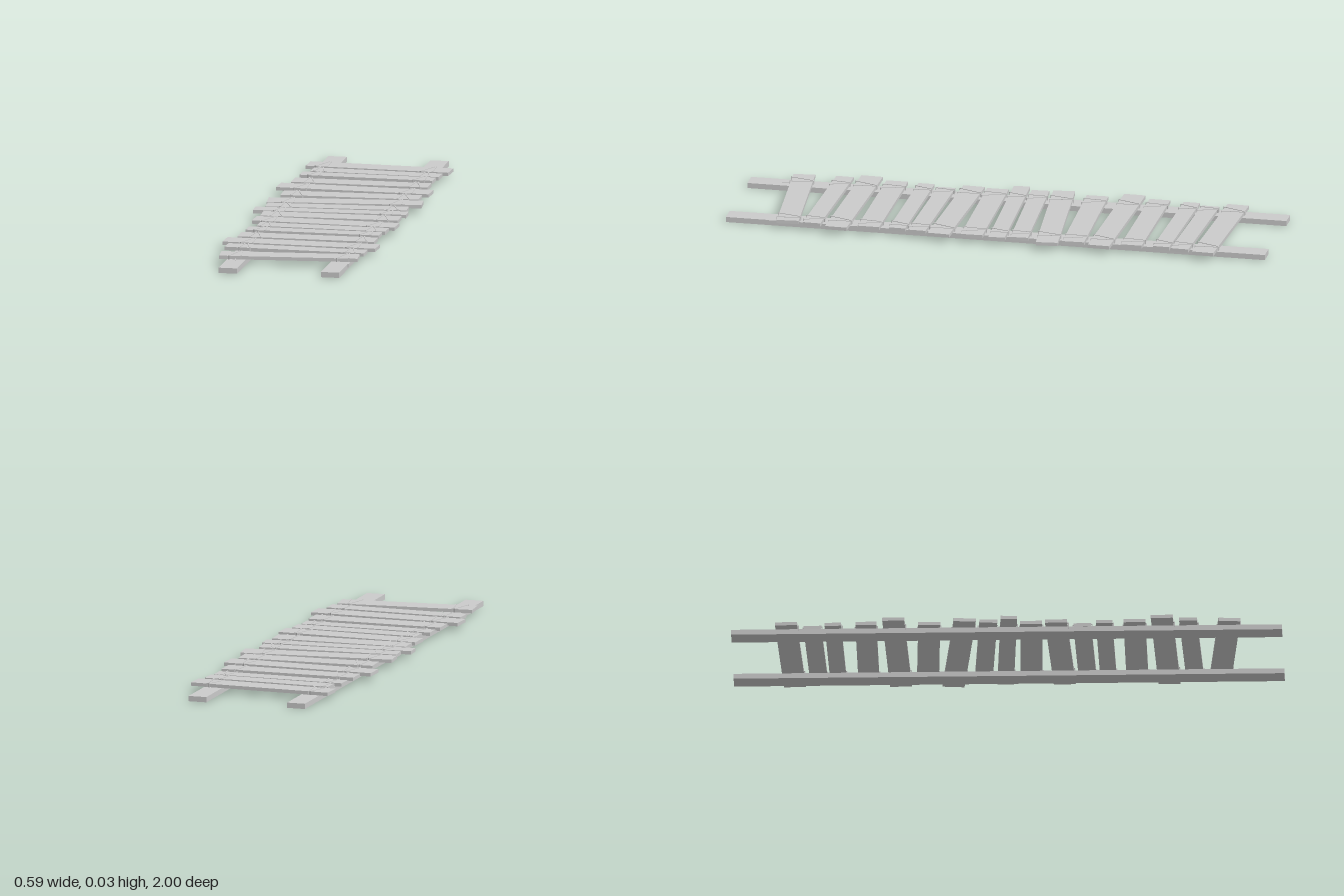
import * as THREE from 'three';

const mat = new THREE.MeshStandardMaterial({ color: 0xcccccc, flatShading: true });

// left end x, right end x, left end z, right end z, width
const PLANKS = [
  [-0.26, 0.275, -0.80, -0.78, 0.08],
  [-0.225, 0.255, -0.705, -0.69, 0.065],
  [-0.25, 0.245, -0.63, -0.62, 0.06],
  [-0.255, 0.25, -0.51, -0.51, 0.077],
  [-0.29, 0.28, -0.41, -0.395, 0.08],
  [-0.25, 0.26, -0.28, -0.297, 0.08],
  [-0.28, 0.29, -0.15, -0.205, 0.08],
  [-0.265, 0.255, -0.065, -0.095, 0.065],
  [-0.295, 0.27, 0.01, -0.015, 0.06],
  [-0.25, 0.26, 0.09, 0.08, 0.08],
  [-0.26, 0.275, 0.18, 0.20, 0.08],
  [-0.225, 0.255, 0.275, 0.285, 0.065],
  [-0.25, 0.245, 0.355, 0.36, 0.06],
  [-0.255, 0.25, 0.465, 0.465, 0.08],
  [-0.29, 0.28, 0.565, 0.58, 0.08],
  [-0.265, 0.255, 0.66, 0.675, 0.065],
  [-0.26, 0.25, 0.81, 0.765, 0.08],
];

function box(name, w, h, d, x, y, z, turn = 0) {
  const mesh = new THREE.Mesh(new THREE.BoxGeometry(w, h, d), mat);
  mesh.name = name;
  mesh.position.set(x, y, z);
  mesh.rotation.y = turn;
  return mesh;
}

// U-shaped strap folded over a plank, with its legs reaching the rail
function strap(plankWidth, stripWidth, turn) {
  const i = plankWidth / 2 / Math.cos(turn) + 0.002, o = i + 0.002;
  const outline = [[-o, 0.012], [-i, 0.012], [-i, 0.0325], [i, 0.0325],
    [i, 0.012], [o, 0.012], [o, 0.0345], [-o, 0.0345]];
  const shape = new THREE.Shape(outline.map(([a, b]) => new THREE.Vector2(a, b)));
  const geo = new THREE.ExtrudeGeometry(shape, { depth: stripWidth, bevelEnabled: false });
  geo.translate(0, 0, -stripWidth / 2).rotateY(Math.PI / 2);
  const mesh = new THREE.Mesh(geo, mat);
  mesh.name = 'bindingStrap';
  mesh.rotation.y = turn;
  return mesh;
}

export function createModel() {
  const group = new THREE.Group();
  group.name = 'plankWalkway';

  // two long rails
  const railX = [-0.19, 0.188];
  railX.forEach((x, i) =>
    group.add(box(i ? 'leftRail' : 'rightRail', 0.068, 0.0195, 2, x, 0.00975, 0)));

  // uneven planks, each tied to both rails
  PLANKS.forEach(([x0, x1, z0, z1, w], n) => {
    const dx = x1 - x0, dz = z1 - z0;
    const turn = -Math.atan2(dz, dx);
    const length = Math.hypot(dx, dz) - w * Math.abs(Math.sin(turn));
    group.add(box('plank', length, 0.0125, w, (x0 + x1) / 2, 0.02575, (z0 + z1) / 2, turn));

    railX.forEach((x, side) => {
      const binding = new THREE.Group();
      binding.name = side ? 'leftBinding' : 'rightBinding';
      const cx = x + (side ? 0.012 : -0.002);
      binding.position.set(cx, 0, z0 + dz * (cx - x0) / dx);
      binding.rotation.y = turn;
      const lean = n % 2 ? 0.12 : -0.12;
      [[-0.014, -0.22 + lean], [0.012, 0.2 + lean]].forEach(([sx, a]) => {
        const s = strap(w, 0.005, a);
        s.position.x = sx;
        binding.add(s);
      });
      group.add(binding);
    });
  });

  // loose strap ends on the rails by the last plank
  group.add(box('strapEnd', 0.004, 0.003, 0.035, -0.19, 0.0205, 0.86, 0.2));
  group.add(box('strapEnd', 0.004, 0.014, 0.03, 0.224, 0.013, 0.83));
  return group;
}
